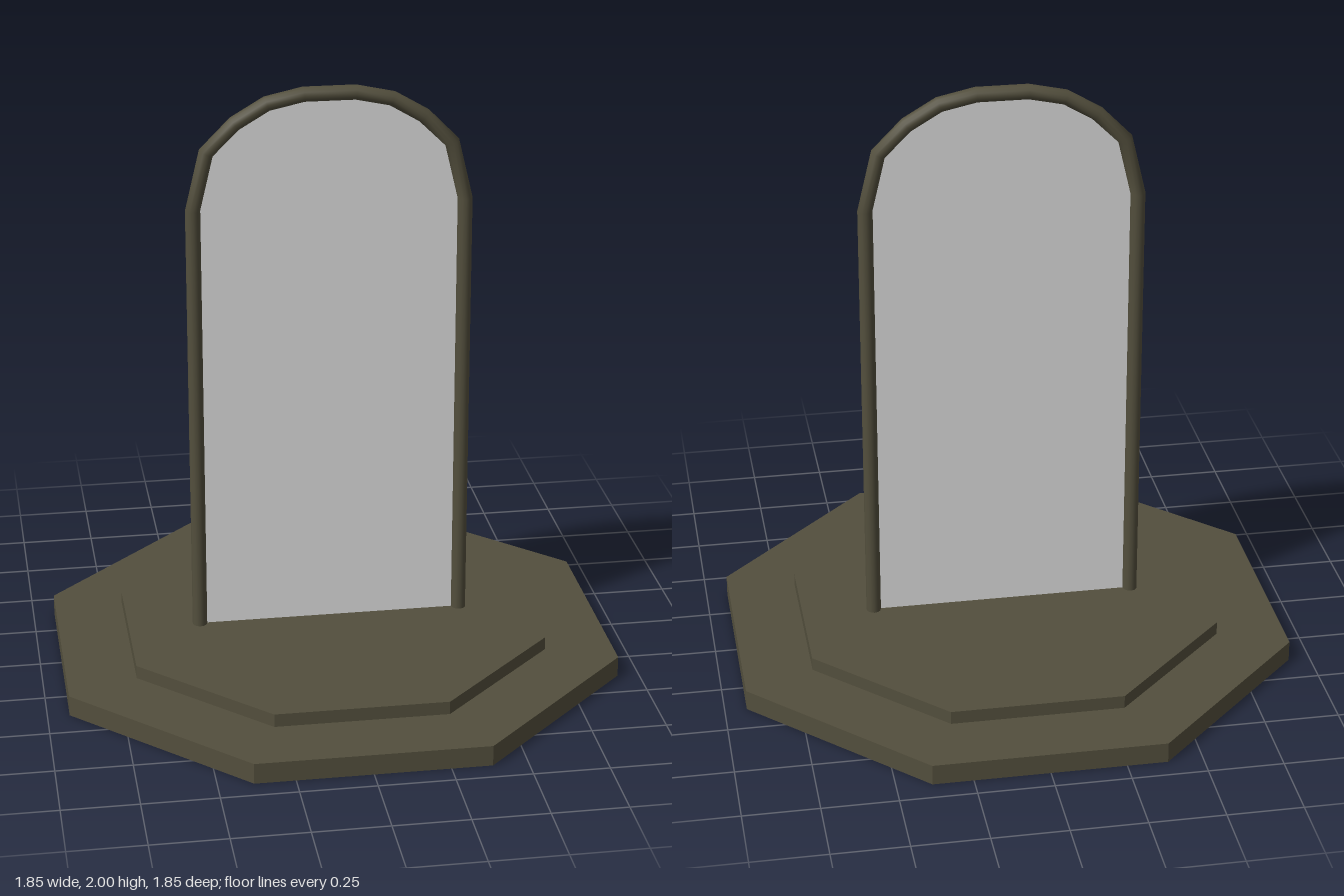
import * as THREE from 'three';

// Curve that passes straight from point to point, one step per point
class Polyline extends THREE.Curve {
  constructor(points) {
    super();
    this.points = points;
  }
  getPoint(t, target = new THREE.Vector3()) {
    const last = this.points.length - 1;
    const f = THREE.MathUtils.clamp(t, 0, 1) * last;
    const i = Math.min(Math.floor(f), last - 1);
    return target.lerpVectors(this.points[i], this.points[i + 1], f - i);
  }
  getPointAt(u, target) { return this.getPoint(u, target); }
  getTangentAt(u, target) { return this.getTangent(u, target); }
}

export function createModel() {
  const model = new THREE.Group();
  const bronze = new THREE.MeshStandardMaterial({ color: 0x534f3d });
  bronze.name = 'darkBronze';
  const silver = new THREE.MeshStandardMaterial({ color: 0xdedede, side: THREE.DoubleSide });
  silver.name = 'silverGlass';

  const add = (name, geometry, material) => {
    const mesh = new THREE.Mesh(geometry, material);
    mesh.name = name;
    model.add(mesh);
    return mesh;
  };

  // Two stacked octagonal steps with flat sides facing the axes
  const step = (name, halfWidth, bottom, top) => {
    const r = halfWidth / Math.cos(Math.PI / 8);
    const geometry = new THREE.CylinderGeometry(r, r, top - bottom, 8).toNonIndexed();
    geometry.rotateY(Math.PI / 8);
    geometry.computeVertexNormals();
    add(name, geometry, bronze).position.y = (bottom + top) / 2;
  };
  step('lowerBase', 0.927, 0, 0.07);
  step('upperBase', 0.695, 0.07, 0.115);

  // Arched outline, right half mirrored to the left
  const half = [[0.45, 0.1], [0.45, 1.6], [0.404, 1.793], [0.31, 1.887], [0.205, 1.949], [0.085, 1.975]];
  const outline = [...half, ...half.map(([x, y]) => [-x, y]).reverse()];

  // Rounded frame following the outline
  const path = new Polyline(outline.map(([x, y]) => new THREE.Vector3(x, y, 0)));
  const tube = new THREE.TubeGeometry(path, outline.length - 1, 0.025, 12, false);
  add('archFrame', tube, bronze).scale.z = 1.1;

  // Flat glass filling the frame
  const shape = new THREE.Shape(outline.map(([x, y]) => new THREE.Vector2(x, y)));
  add('mirrorPane', new THREE.ShapeGeometry(shape), silver);

  return model;
}
